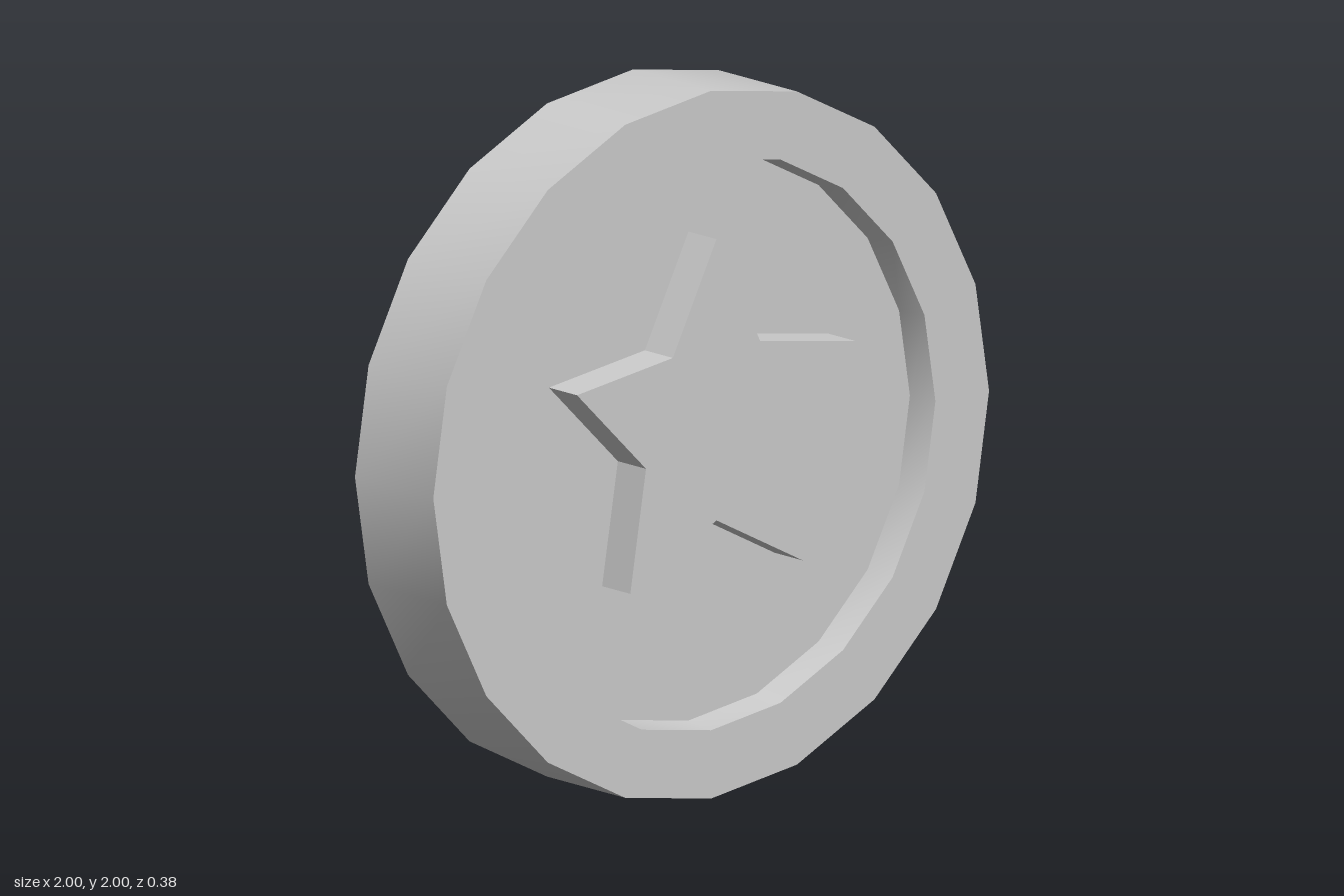
import * as THREE from 'three';
import { toCreasedNormals } from 'three/addons/utils/BufferGeometryUtils.js';

const SIDES = 20;
const RIM_Z = 0.167;   // half thickness at the rim
const FLOOR_Z = 0.07;  // half thickness inside the recess
const STAR_Z = 0.19;   // top of the raised star

// Five-pointed star with one tip straight up
function starShape(outer, inner) {
  const points = [];
  for (let i = 0; i < 10; i++) {
    const r = i % 2 ? inner : outer;
    const a = Math.PI / 2 + (i * Math.PI) / 5;
    points.push(new THREE.Vector2(r * Math.cos(a), r * Math.sin(a)));
  }
  return new THREE.Shape(points);
}

export function createModel() {
  const group = new THREE.Group();
  group.name = 'starCoin';
  const material = new THREE.MeshStandardMaterial({ color: 0xcccccc });

  // Coin body: raised rim and a slightly tapered recess on both faces
  const profile = [
    [0, -FLOOR_Z], [0.797, -FLOOR_Z], [0.807, -RIM_Z], [1, -RIM_Z],
    [1, RIM_Z], [0.807, RIM_Z], [0.797, FLOOR_Z], [0, FLOOR_Z],
  ].map(([r, y]) => new THREE.Vector2(r, y));
  const bodyGeometry = new THREE.LatheGeometry(profile, SIDES).rotateX(Math.PI / 2);
  const body = new THREE.Mesh(toCreasedNormals(bodyGeometry, 0.5), material);
  body.name = 'coinBody';
  body.position.y = 1;
  group.add(body);

  // Raised star on each face, its base sunk a little into the recess floor
  const base = FLOOR_Z - 0.01;
  const starGeometry = new THREE.ExtrudeGeometry(starShape(0.528, 0.267), {
    depth: STAR_Z - base, bevelEnabled: false,
  });
  for (const [name, z, turn] of [['frontStar', base, 0], ['backStar', -base, Math.PI]]) {
    const star = new THREE.Mesh(starGeometry, material);
    star.name = name;
    star.position.set(0, 1.057, z);
    star.rotation.y = turn;
    group.add(star);
  }
  return group;
}
